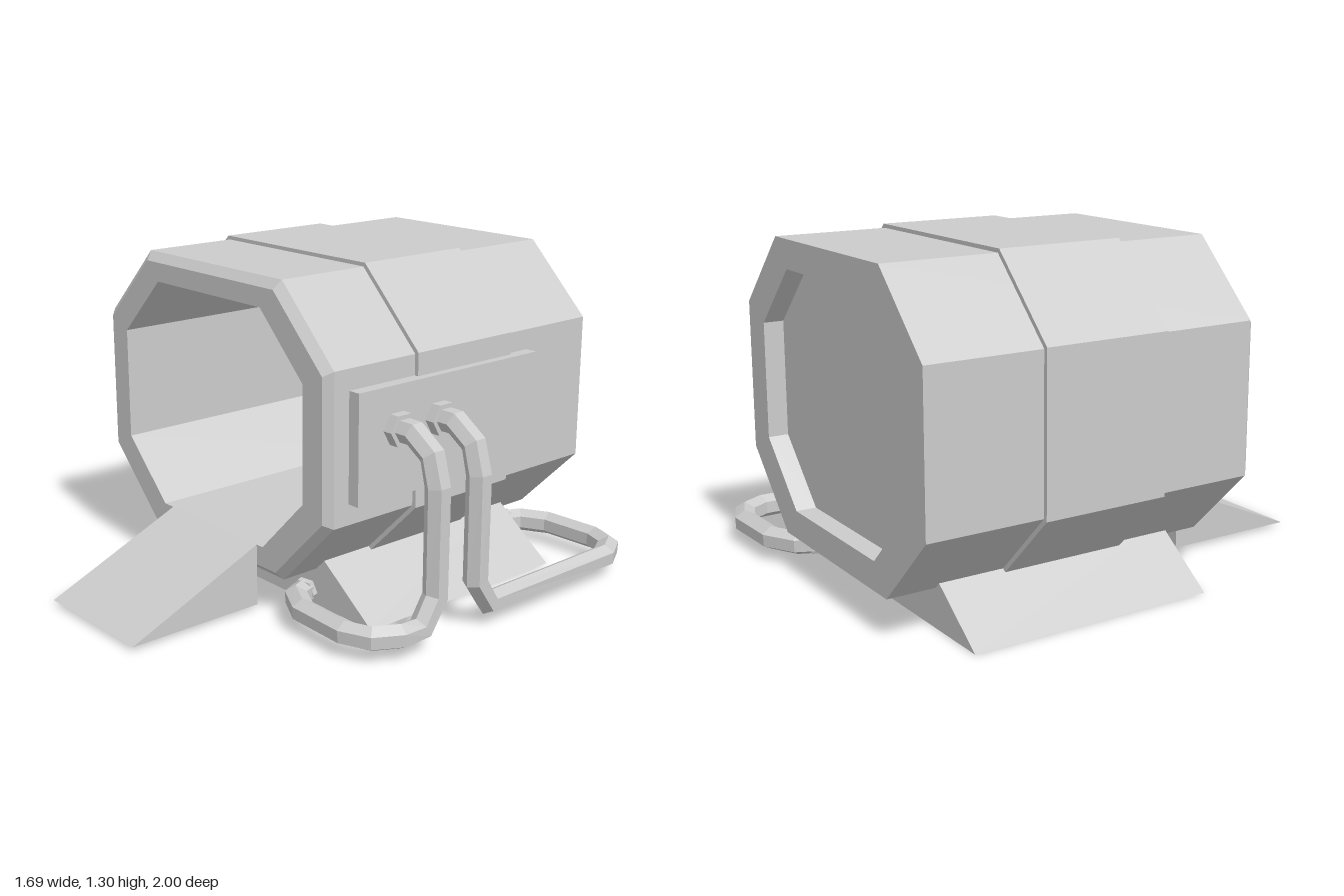
import * as THREE from 'three';

const grey = new THREE.MeshStandardMaterial({ color: 0xcccccc, flatShading: true });
const greyThin = new THREE.MeshStandardMaterial({ color: 0xcccccc, flatShading: true, side: THREE.DoubleSide });

function part(name, geometry, material = grey) {
  const mesh = new THREE.Mesh(geometry, material);
  mesh.name = name;
  return mesh;
}

// Octagon with corners cut by c, counter-clockwise seen from +z
const octagon = (x0, x1, y0, y1, c, z) => [
  [x0 + c, y0], [x1 - c, y0], [x1, y0 + c], [x1, y1 - c],
  [x1 - c, y1], [x0 + c, y1], [x0, y1 - c], [x0, y0 + c],
].map(([x, y]) => new THREE.Vector3(x, y, z));

// Skin between successive closed rings
function loft(rings) {
  const pts = [];
  for (let k = 0; k < rings.length - 1; k++) {
    const a = rings[k], b = rings[k + 1], n = a.length;
    for (let i = 0; i < n; i++) {
      const j = (i + 1) % n;
      pts.push(a[i], b[i], a[j], a[j], b[i], b[j]);
    }
  }
  const g = new THREE.BufferGeometry().setFromPoints(pts);
  g.computeVertexNormals();
  return g;
}

// Straight-segment path whose samples land on its corners
class Polyline extends THREE.Curve {
  constructor(points) { super(); this.points = points; }
  getPoint(t, target = new THREE.Vector3()) {
    const s = t * (this.points.length - 1);
    const i = Math.min(Math.floor(s + 1e-6), this.points.length - 2);
    return target.lerpVectors(this.points[i], this.points[i + 1], s - i);
  }
  getPointAt(u, target) { return this.getPoint(u, target); }
  getTangentAt(u, target = new THREE.Vector3()) {
    const p = this.points, n = p.length - 1, i = Math.round(u * n);
    const dir = (k) => p[k + 1].clone().sub(p[k]).normalize();
    return target.copy(dir(Math.max(i - 1, 0))).add(dir(Math.min(i, n - 1))).normalize();
  }
}

// Hexagonal nut centred at p with its axis along dir
function hexNut(name, p, dir, radius, length) {
  const nut = part(name, new THREE.CylinderGeometry(radius, radius, length, 6));
  nut.position.copy(p);
  nut.quaternion.setFromUnitVectors(new THREE.Vector3(0, 1, 0), dir);
  return nut;
}

// Hose from the side panel, down to the floor and in under the body
function hose(name, z, side, reach) {
  const y = 0.085, end = z + side * reach;
  const path = [
    [0.58, 0.77, z], [0.68, 0.77, z], [0.77, 0.71, z], [0.8, 0.6, z],
    [0.8, 0.19, z], [0.8, y, z + side * 0.07], [0.8, y, end - side * 0.13],
    [0.75, y, end - side * 0.04], [0.65, y, end], [0.41, y, end - side * 0.01],
    [0.3, y, end - side * 0.07], [0.275, y, end - side * 0.13],
  ].map((p) => new THREE.Vector3(...p));
  const curve = new Polyline(path);
  const group = new THREE.Group();
  group.name = name;
  group.add(
    part('hoseTube', new THREE.TubeGeometry(curve, path.length - 1, 0.048, 6, false)),
    hexNut('panelNut', new THREE.Vector3(0.605, 0.77, z), new THREE.Vector3(1, 0, 0), 0.066, 0.05),
    hexNut('endNut', path[path.length - 1], curve.getTangentAt(1), 0.05, 0.03),
  );
  return group;
}

export function createModel() {
  const model = new THREE.Group();
  model.name = 'chamber';

  // Hollow octagonal body: cavity, front rim with bevel, outer skin, back recess
  const outer = (z) => octagon(-0.83, 0.54, 0.15, 1.29, 0.28, z);
  const inner = (z) => octagon(-0.7, 0.405, 0.26, 1.18, 0.235, z);
  const centre = (z) => Array(8).fill(new THREE.Vector3(-0.147, 0.72, z));
  model.add(part('body', loft([
    centre(-0.75), inner(-0.75), inner(0.43),
    octagon(-0.8, 0.51, 0.18, 1.255, 0.265, 0.43),
    outer(0.4), outer(-0.94), inner(-0.94), inner(-0.86), centre(-0.86),
  ])));

  // Raised band round the middle
  const band = (z) => octagon(-0.847, 0.557, 0.135, 1.305, 0.288, z);
  model.add(part('middleBand', loft([outer(0.01), band(0.01), band(-0.49), outer(-0.49)])));

  // Side panel with two hoses
  const panel = part('sidePanel', new THREE.BoxGeometry(0.07, 0.42, 0.93));
  panel.position.set(0.555, 0.72, -0.135);
  model.add(panel);
  model.add(hose('frontHose', 0.145, 1, 0.3), hose('backHose', -0.065, -1, 0.89));

  // Splayed stand, open underneath
  const rect = (x0, x1, y) => [[x0, 0.24], [x1, 0.24], [x1, -0.75], [x0, -0.75]]
    .map(([x, z]) => new THREE.Vector3(x, y, z));
  model.add(part('stand', loft([rect(-0.54, 0.3, 0.2), rect(-0.81, 0.57, 0)]), greyThin));

  // Entry ramp: triangular wedge in front of the opening
  const wedge = new THREE.Shape([
    new THREE.Vector2(-0.43, 0.015), new THREE.Vector2(-0.43, 0.26), new THREE.Vector2(-1, 0.015),
  ]);
  const ramp = part('ramp', new THREE.ExtrudeGeometry(wedge, { depth: 0.545, bevelEnabled: false }));
  ramp.rotation.y = Math.PI / 2;
  ramp.position.x = -0.41;
  model.add(ramp);

  return model;
}
